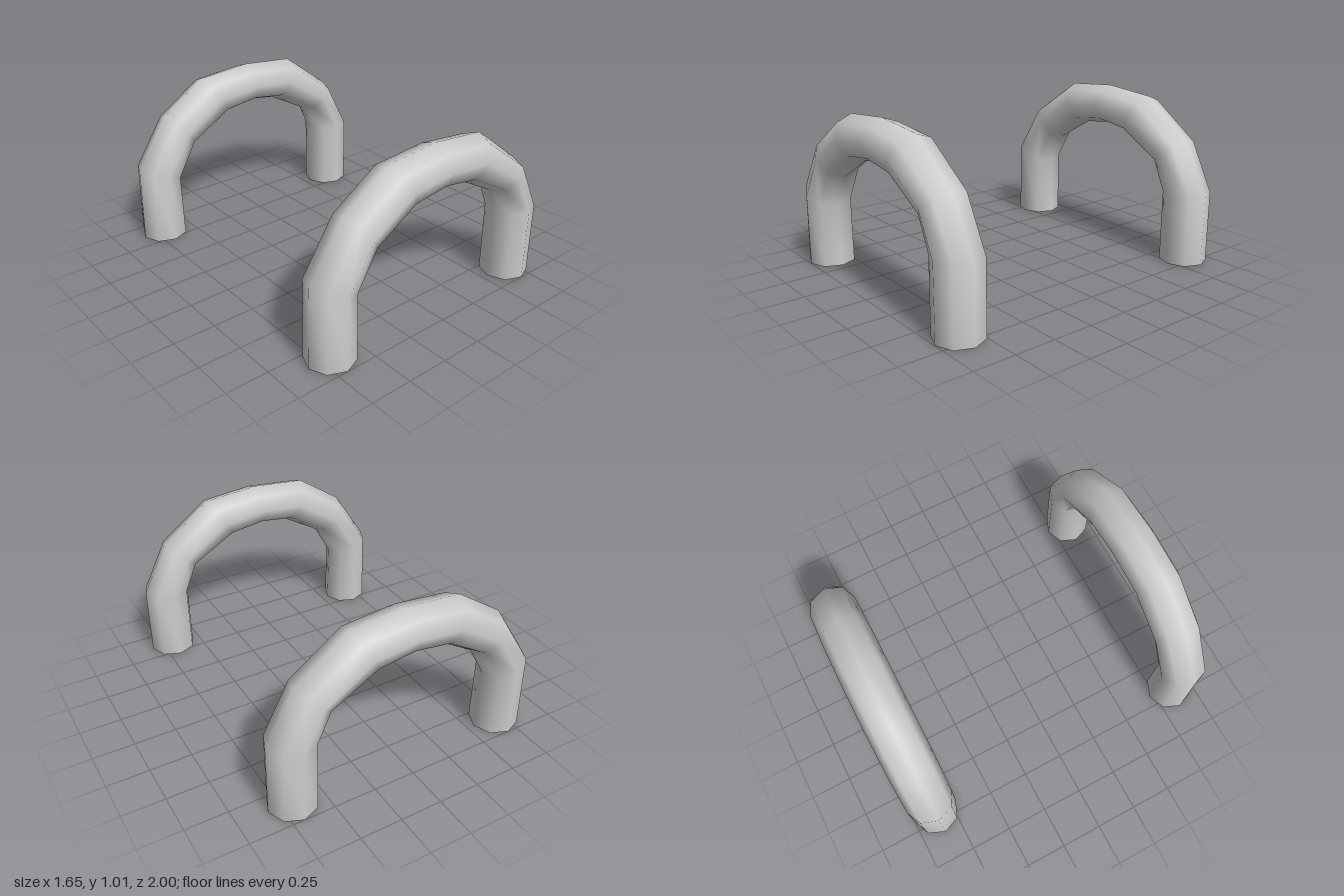
import * as THREE from 'three';

// Each ring of the tube: outer x, y and inner x, y in the plane of the arch
const RINGS = [
  [-0.83, 0, -0.545, 0],
  [-0.82, 0.48, -0.555, 0.385],
  [-0.615, 0.79, -0.445, 0.585],
  [-0.33, 0.98, -0.19, 0.735],
  [0.01, 1.01, 0.01, 0.765],
  [0.35, 0.98, 0.21, 0.735],
  [0.66, 0.75, 0.475, 0.595],
  [0.825, 0.435, 0.54, 0.435],
  [0.825, 0, 0.54, 0],
];
const SIDES = 8;
const RADIUS = 0.1425;

// Open-ended octagonal tube lofted through the rings
function archGeometry() {
  const positions = [];
  const index = [];
  RINGS.forEach(([ox, oy, ix, iy], i) => {
    for (let j = 0; j < SIDES; j++) {
      const a = (j / SIDES) * Math.PI * 2;
      const c = Math.cos(a) / 2;
      positions.push(
        (ox + ix) / 2 + (ox - ix) * c,
        (oy + iy) / 2 + (oy - iy) * c,
        RADIUS * Math.sin(a)
      );
      if (i < RINGS.length - 1) {
        const p = i * SIDES + j;
        const q = i * SIDES + ((j + 1) % SIDES);
        index.push(p, q, p + SIDES, q, q + SIDES, p + SIDES);
      }
    }
  });
  const geometry = new THREE.BufferGeometry();
  geometry.setAttribute('position', new THREE.Float32BufferAttribute(positions, 3));
  geometry.setIndex(index);
  geometry.computeVertexNormals();
  return geometry;
}

export function createModel() {
  const group = new THREE.Group();
  group.name = 'archPair';
  const material = new THREE.MeshStandardMaterial({ color: 0xcccccc, side: THREE.DoubleSide });
  const geometry = archGeometry();
  // The same arch stands at the front and at the back
  for (const [name, side] of [['frontArch', 1], ['backArch', -1]]) {
    const arch = new THREE.Mesh(geometry, material);
    arch.name = name;
    arch.position.z = side * (1 - RADIUS);
    group.add(arch);
  }
  return group;
}
